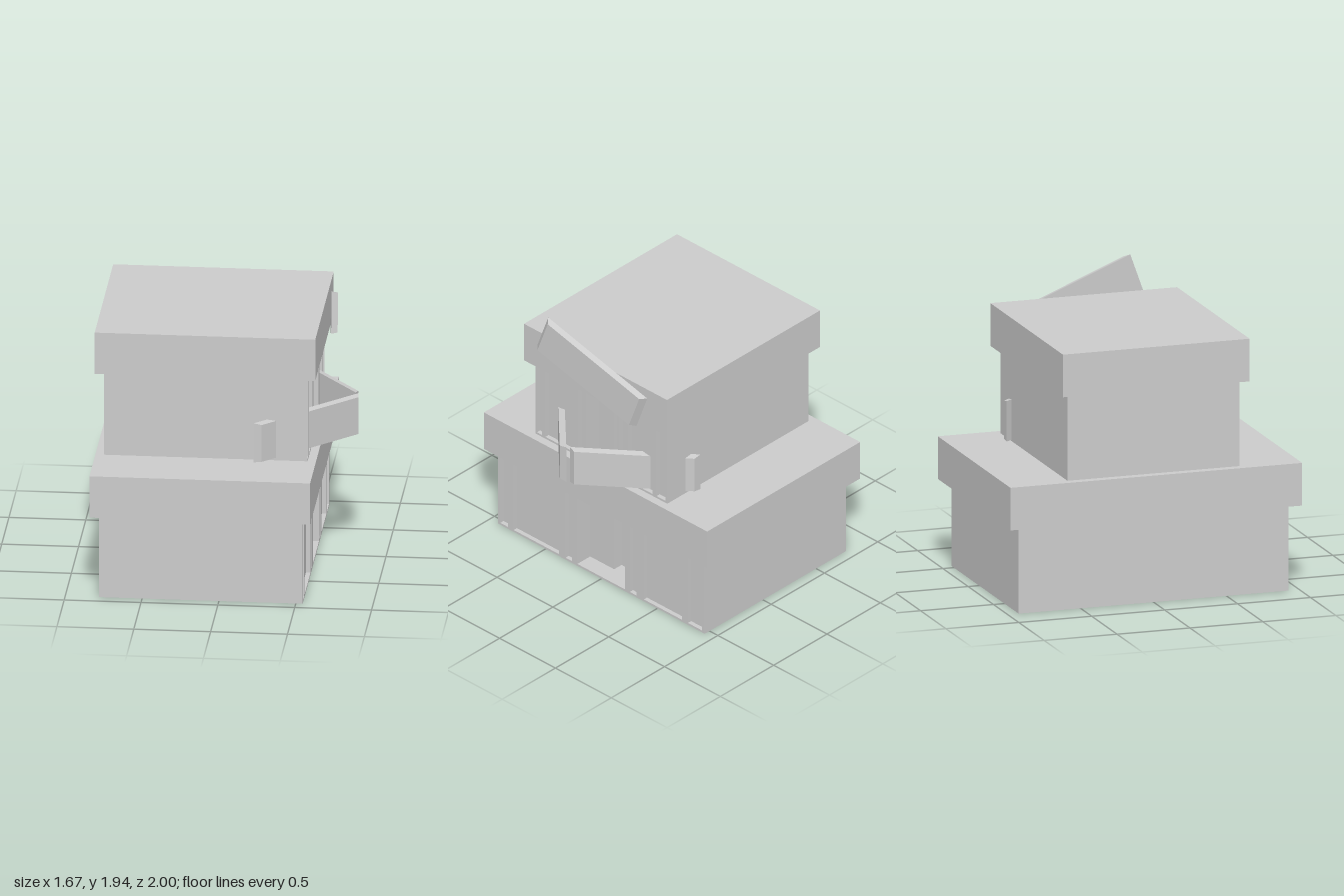
import * as THREE from 'three';

const material = new THREE.MeshStandardMaterial({ color: 0xcccccc, flatShading: true });

function add(parent, name, geometry) {
  const mesh = new THREE.Mesh(geometry, material);
  mesh.name = name;
  parent.add(mesh);
  return mesh;
}

// Box given by its lower and upper corners
function block(parent, name, [x0, y0, z0], [x1, y1, z1]) {
  const mesh = add(parent, name, new THREE.BoxGeometry(x1 - x0, y1 - y0, z1 - z0));
  mesh.position.set((x0 + x1) / 2, (y0 + y1) / 2, (z0 + z1) / 2);
  return mesh;
}

const BACK = -0.78, FRONT = 0.545;

// Openings in the shop side: [z start, z end, depth]; the two middle ones are sliding doors
const openings = [
  [-0.9, -0.775, 0.03], [-0.72, -0.38, 0.03], [-0.315, -0.255, 0.03],
  [-0.21, 0, 0.19], [0, 0.215, 0.12],
  [0.265, 0.32, 0.03], [0.38, 0.785, 0.03], [0.835, 0.905, 0.03],
];

// One storey: notched plan raised between two thin plates, with a wide slab on top
function storey(name, y, halfZ, slabHalfZ) {
  const group = new THREE.Group();
  group.name = name;
  const k = halfZ / 0.925, plate = 0.015, wallTop = y + 0.57;

  const plan = new THREE.Shape();
  plan.moveTo(BACK, halfZ);
  plan.lineTo(BACK, -halfZ);
  plan.lineTo(FRONT, -halfZ);
  for (const [z0, z1, depth] of [...openings].reverse()) {
    if (z1 !== 0) plan.lineTo(FRONT, -z1 * k);
    plan.lineTo(FRONT - depth, -z1 * k);
    plan.lineTo(FRONT - depth, -z0 * k);
    if (z0 !== 0) plan.lineTo(FRONT, -z0 * k);
  }
  plan.lineTo(FRONT, halfZ);
  plan.closePath();

  const walls = new THREE.ExtrudeGeometry(plan, { depth: wallTop - y - 2 * plate, bevelEnabled: false });
  walls.rotateX(-Math.PI / 2);
  add(group, 'walls', walls).position.y = y + plate;
  block(group, 'floorPlate', [BACK, y, -halfZ], [FRONT, y + plate, halfZ]);
  block(group, 'lintel', [BACK, wallTop - plate, -halfZ], [FRONT, wallTop + 0.005, halfZ]);
  block(group, 'roofSlab', [-0.835, wallTop + 0.005, -slabHalfZ], [0.6, wallTop + 0.29, slabHalfZ]);
  return group;
}

// Sign board whose front face is slightly smaller than its back
function board(parent, name, length) {
  const thickness = 0.042;
  const geometry = new THREE.BoxGeometry(length, 0.27, thickness);
  geometry.translate(0, 0, thickness / 2);
  const p = geometry.attributes.position;
  for (let i = 0; i < p.count; i++) {
    if (p.getZ(i) > 0.01) {
      p.setX(i, p.getX(i) - Math.sign(p.getX(i)) * 0.033);
      p.setY(i, p.getY(i) - Math.sign(p.getY(i)) * 0.008);
    }
  }
  geometry.computeVertexNormals();
  return add(parent, name, geometry);
}

export function createModel() {
  const model = new THREE.Group();
  model.name = 'shopBuilding';
  model.add(storey('lowerStorey', 0, 0.925, 1));
  model.add(storey('upperStorey', 0.86, 0.59, 0.64));

  // Two upright boards meeting in a point and running through the walls
  const frontBoard = board(model, 'frontSignBoard', 0.88);
  frontBoard.position.set(0.513, 1.005, 0.358);
  frontBoard.rotation.y = Math.PI / 4;
  const backBoard = board(model, 'backSignBoard', 0.85);
  backBoard.position.set(0.545, 1.005, -0.302);
  backBoard.rotation.y = 2.23;

  // Crooked board leaning against the roof
  const sign = board(model, 'tiltedSignBoard', 0.866);
  const along = new THREE.Vector3(-0.08, -0.295, -0.81).normalize();
  const up = new THREE.Vector3(-0.005, 0.255, -0.09);
  up.addScaledVector(along, -up.dot(along)).normalize();
  const out = new THREE.Vector3().crossVectors(along, up);
  sign.quaternion.setFromRotationMatrix(new THREE.Matrix4().makeBasis(along, up, out));
  sign.position.set(0.642, 1.67, -0.012);
  return model;
}
